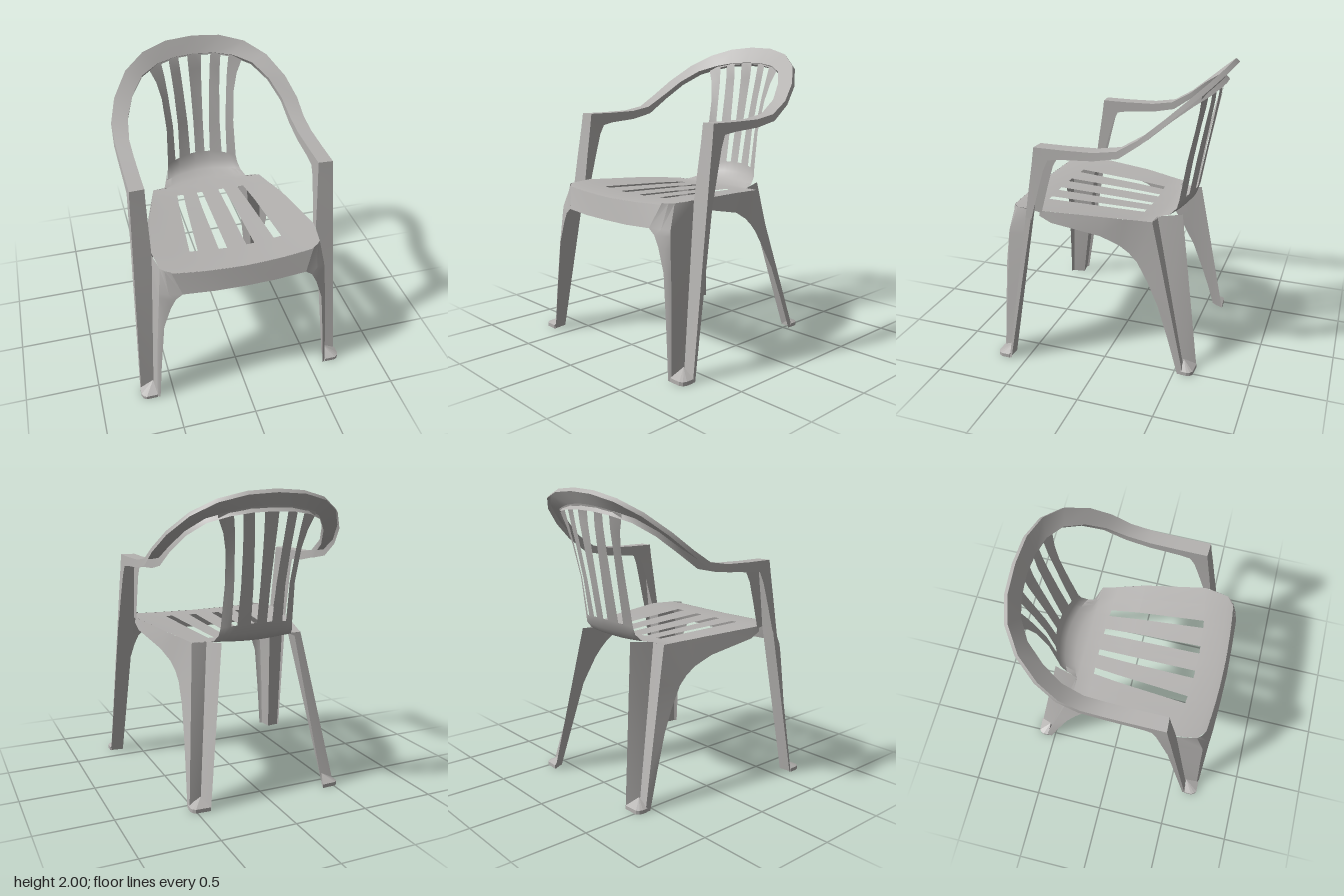
import * as THREE from 'three';
import { toCreasedNormals } from 'three/addons/utils/BufferGeometryUtils.js';
import { ConvexGeometry } from 'three/addons/geometries/ConvexGeometry.js';

const plastic = new THREE.MeshStandardMaterial({ color: 0xb4b2b0, side: THREE.DoubleSide });
plastic.name = 'grey plastic';

// Skin a grid of [x, y, z] points; skip(row, column) leaves an opening.
function sheet(rows, skip = () => false) {
  const n = rows[0].length, index = [];
  for (let r = 0; r < rows.length - 1; r++) {
    for (let c = 0; c < n - 1; c++) {
      if (skip(r, c)) continue;
      const a = r * n + c, b = a + n;
      index.push(a, b, a + 1, a + 1, b, b + 1);
    }
  }
  const geometry = new THREE.BufferGeometry();
  geometry.setAttribute('position', new THREE.Float32BufferAttribute(rows.flat(2), 3));
  geometry.setIndex(index);
  return toCreasedNormals(geometry, 0.6);
}

const mirrorRows = (rows) => rows.map((row) => row.map(([x, y, z]) => [-x, y, z]));
const lerp = (a, b, t) => a.map((v, i) => v + (b[i] - v) * t);

export function createModel() {
  const chair = new THREE.Group();
  chair.name = 'chair';

  const add = (name, geometry) => {
    const mesh = new THREE.Mesh(geometry, plastic);
    mesh.name = name;
    chair.add(mesh);
  };
  const addPair = (name, rows) => {
    add(name + 'Left', sheet(rows));
    add(name + 'Right', sheet(mirrorRows(rows)));
  };

  // Seat and backrest: half width, edge y z, centre y z, then slot edges in x
  const seatRows = [
    [0.47, 1.05, 0.64, 1.035, 0.67, 0.065, 0.12, 0.257, 0.31],
    [0.53, 1.06, 0.59, 1.04, 0.62, 0.065, 0.12, 0.257, 0.31],
    [0.555, 1.065, 0.42, 1.04, 0.48, 0.065, 0.12, 0.257, 0.31],
    [0.48, 1.045, 0, 1.02, 0, 0.062, 0.11, 0.22, 0.27],
    [0.43, 1.03, -0.18, 1.01, -0.205, 0.06, 0.1, 0.2, 0.245],
    [0.4, 1.02, -0.3, 1.01, -0.3, 0.055, 0.095, 0.19, 0.23],
  ];
  const backRows = [
    [0.3, 1.02, -0.31, 1.015, -0.37, 0.05, 0.09, 0.18, 0.22],
    [0.28, 1.035, -0.38, 1.045, -0.445, 0.045, 0.085, 0.17, 0.21],
    [0.265, 1.08, -0.425, 1.09, -0.485, 0.04, 0.08, 0.165, 0.2],
    [0.257, 1.13, -0.437, 1.16, -0.507, 0.035, 0.075, 0.16, 0.195],
    [0.247, 1.4, -0.48, 1.4, -0.55, 0.035, 0.08, 0.155, 0.195],
    [0.262, 1.62, -0.53, 1.64, -0.595, 0.04, 0.095, 0.165, 0.212],
    [0.29, 1.74, -0.557, 1.78, -0.62, 0.045, 0.105, 0.175, 0.225],
    [0.33, 1.83, -0.575, 1.88, -0.63, 0.05, 0.115, 0.185, 0.24],
    [0.335, 1.85, -0.58, 1.9, -0.637, 0.05, 0.115, 0.185, 0.24],
  ];
  const shell = [...seatRows, ...backRows].map(([w, ye, ze, yc, zc, a, b, c, d]) => {
    const half = [a, b, c, d, (d + w) / 2, w];
    const xs = [...half.slice().reverse().map((x) => -x), 0, ...half];
    return xs.map((x) => {
      const t = (x / w) ** 2;
      return [x, yc + (ye - yc) * t, zc + (ze - zc) * t];
    });
  });
  const slotColumns = [2, 4, 7, 9];
  const slotted = (r) => (r >= 2 && r < 4) || (r >= 9 && r < 13);
  add('seatAndBackrest', sheet(shell, (r, c) => slotted(r) && slotColumns.includes(c)));

  // Front apron
  const apronTop = [[0.47, 1.05, 0.64], [0.25, 1.04, 0.661], [0, 1.035, 0.67]];
  const apronLow = [[0.41, 0.905, 0.69], [0.2, 0.895, 0.7], [0, 0.895, 0.705]];
  const across = (half) => [...half, ...mirrorRows([half.slice(0, -1)])[0].reverse()];
  add('frontApron', sheet([across(apronTop), across(apronLow)]));

  // Front legs: y, inner edge x z, rounded front corner x z
  const frontLeg = [
    [1.06, 0.47, 0.64, 0.53, 0.59],
    [0.905, 0.41, 0.69, 0.553, 0.645],
    [0.87, 0.455, 0.688, 0.556, 0.65],
    [0.8, 0.49, 0.687, 0.562, 0.655],
    [0.65, 0.54, 0.69, 0.576, 0.662],
    [0.3, 0.575, 0.702, 0.602, 0.683],
    [0, 0.6, 0.712, 0.617, 0.7],
  ].map(([y, hx, hz, gx, gz]) => {
    const t = 1 - y / 1.06;
    const at = (x0, z0, x1, z1) => [x0 + (x1 - x0) * t, y, z0 + (z1 - z0) * t];
    return [
      [hx, y, hz],
      [hx * 0.4 + gx * 0.6, y, hz * 0.55 + gz * 0.45],
      [gx, y, gz],
      at(0.555, 0.455, 0.63, 0.61),
      at(0.675, 0.46, 0.72, 0.62),
      at(0.68, 0.42, 0.723, 0.605),
    ];
  });
  addPair('frontLeg', frontLeg);

  // Armrests and top rail: inner edge, outer edge, flange offset in y z
  const railHalf = [
    [[0.555, 1.06, 0.455], [0.675, 1.06, 0.46], -0.01, -0.05],
    [[0.558, 1.25, 0.427], [0.667, 1.25, 0.432], -0.01, -0.075],
    [[0.56, 1.42, 0.4], [0.66, 1.42, 0.405], -0.04, -0.09],
    [[0.56, 1.53, 0.385], [0.655, 1.53, 0.39], -0.085, -0.11],
    [[0.56, 1.53, 0.2], [0.655, 1.53, 0.2], -0.07, 0],
    [[0.56, 1.535, 0], [0.655, 1.535, 0], -0.06, 0],
    [[0.56, 1.56, -0.15], [0.657, 1.56, -0.15], -0.05, -0.015],
    [[0.54, 1.645, -0.29], [0.65, 1.64, -0.28], -0.03, -0.02],
    [[0.48, 1.745, -0.41], [0.6, 1.75, -0.41], -0.025, -0.025],
    [[0.39, 1.825, -0.52], [0.5, 1.865, -0.54], -0.025, -0.025],
    [[0.27, 1.865, -0.59], [0.36, 1.945, -0.63], -0.025, -0.028],
    [[0.14, 1.885, -0.62], [0.19, 1.988, -0.675], -0.025, -0.03],
    [[0, 1.89, -0.63], [0, 2, -0.685], -0.025, -0.03],
  ].map(([inner, outer, dy, dz]) => [
    [inner[0], inner[1] + dy, inner[2] + dz],
    inner,
    outer,
    [outer[0] * 1.006, outer[1] + dy * 0.85, outer[2] + dz * 0.85],
  ]);
  add('armrestsAndTopRail', sheet([...railHalf, ...mirrorRows(railHalf.slice(0, -1)).reverse()]));

  // Rear legs: open angled channel, tapering to the foot
  const rearTop = [[0.4, 1.02, -0.3], [0.3, 1.02, -0.305], [0.262, 1.04, -0.465]];
  const rearFoot = [[0.53, 0, -0.565], [0.45, 0, -0.55], [0.41, 0, -0.63]];
  addPair('rearLeg', [0, 0.5, 1].map((t) => rearTop.map((p, i) => lerp(p, rearFoot[i], t))));

  // Side aprons flowing down into the rear legs
  const legCrease = (t) => lerp(rearTop[0], rearFoot[0], t);
  addPair('sideApron', [
    [[0.555, 1.065, 0.42], [0.56, 1.03, 0.42]],
    [[0.546, 1.062, 0.37], [0.558, 0.99, 0.34]],
    [[0.48, 1.045, 0], [0.505, 0.92, 0.02]],
    [[0.445, 1.034, -0.13], [0.477, 0.86, -0.1]],
    [[0.43, 1.03, -0.18], [0.468, 0.81, -0.165]],
    [[0.4, 1.02, -0.3], [0.465, 0.75, -0.22]],
    [legCrease(0.25), [0.473, 0.62, -0.295]],
    [legCrease(0.52), [0.49, 0.47, -0.37]],
    [legCrease(0.75), [0.51, 0.24, -0.45]],
    [legCrease(1), [0.53, 0, -0.525]],
  ]);

  // Feet: sloped wedges with rounded outer corners
  const addFeet = (name, apex, outline) => {
    for (const side of [1, -1]) {
      const points = [new THREE.Vector3(apex[0] * side, 0.07, apex[1])];
      for (const [x, z] of [apex, ...outline]) {
        for (const y of [0, 0.025]) points.push(new THREE.Vector3(x * side, y, z));
      }
      add(name + (side > 0 ? 'Left' : 'Right'), new ConvexGeometry(points));
    }
  };
  addFeet('frontFoot', [0.63, 0.612], [[0.725, 0.62], [0.725, 0.675], [0.715, 0.697], [0.695, 0.71], [0.617, 0.71]]);
  addFeet('rearFoot', [0.448, -0.55], [[0.533, -0.55], [0.535, -0.59], [0.527, -0.612], [0.51, -0.627], [0.412, -0.632]]);

  return chair;
}
